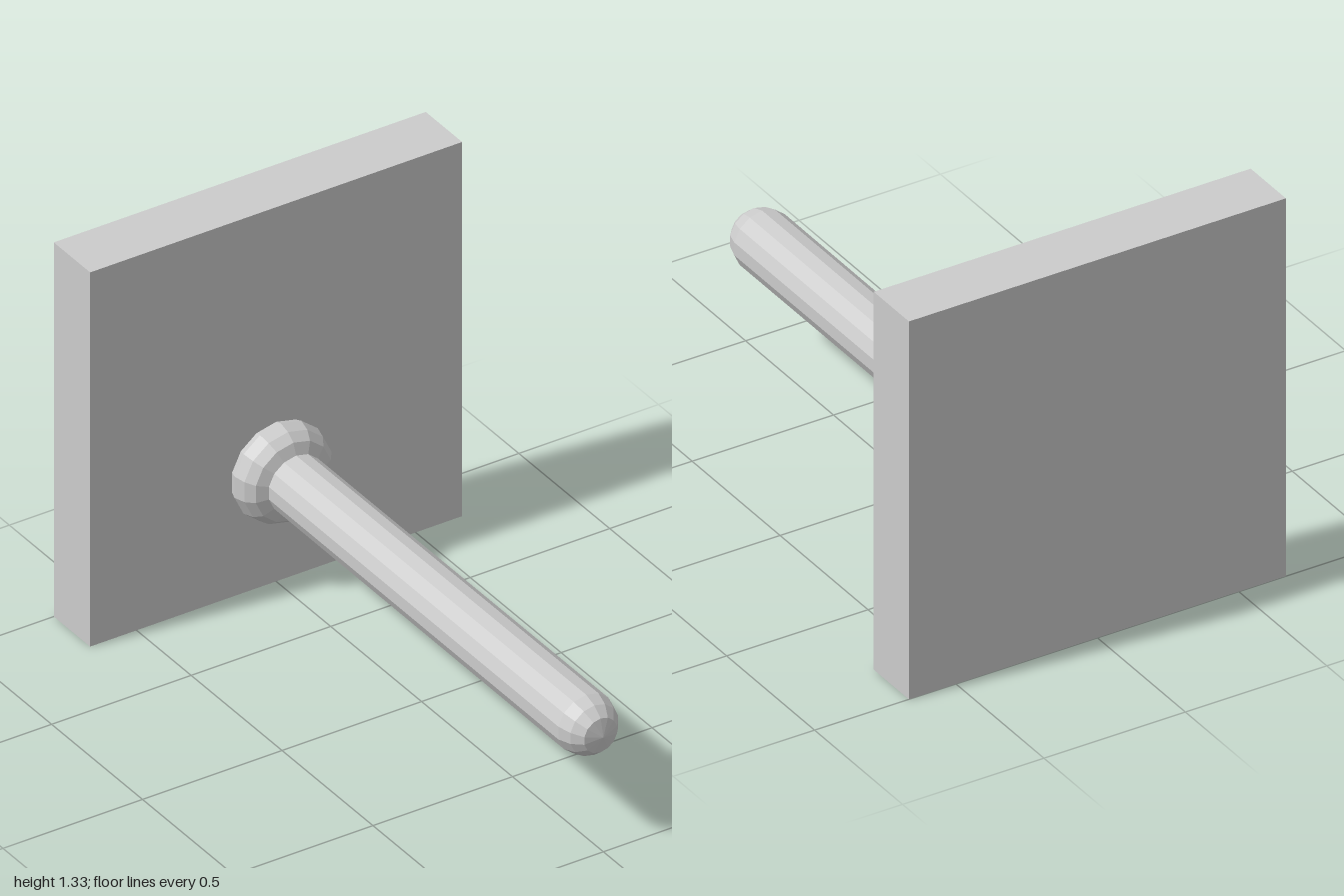
import * as THREE from 'three';

const AXIS_Y = 0.407; // height of the peg's axis

export function createModel() {
  const group = new THREE.Group();
  const material = new THREE.MeshStandardMaterial({ color: 0xcccccc, flatShading: true });

  const add = (name, geometry, x, y, z) => {
    const mesh = new THREE.Mesh(geometry, material);
    mesh.name = name;
    mesh.position.set(x, y, z);
    group.add(mesh);
  };

  // Turned part along z, from [radius, z] pairs running back to front
  const turned = (profile, sides) =>
    new THREE.LatheGeometry(profile.map(([r, z]) => new THREE.Vector2(r, z)), sides).rotateX(Math.PI / 2);

  // Square wall plate
  add('backPlate', new THREE.BoxGeometry(1.333, 1.333, 0.2), 0, 0.6667, -0.9);

  // Long peg with a blunt rounded tip
  add('peg', turned([
    [0.1, -0.82], [0.102, 0.905], [0.088, 0.95], [0.06, 0.985], [0, 1],
  ], 14), 0, AXIS_Y, 0);

  // Faceted collar where the peg meets the plate
  add('collar', turned([
    [0.155, -0.82], [0.17, -0.775], [0.16, -0.735], [0.138, -0.705], [0.1, -0.69],
  ], 14), 0, AXIS_Y, 0);

  return group;
}
